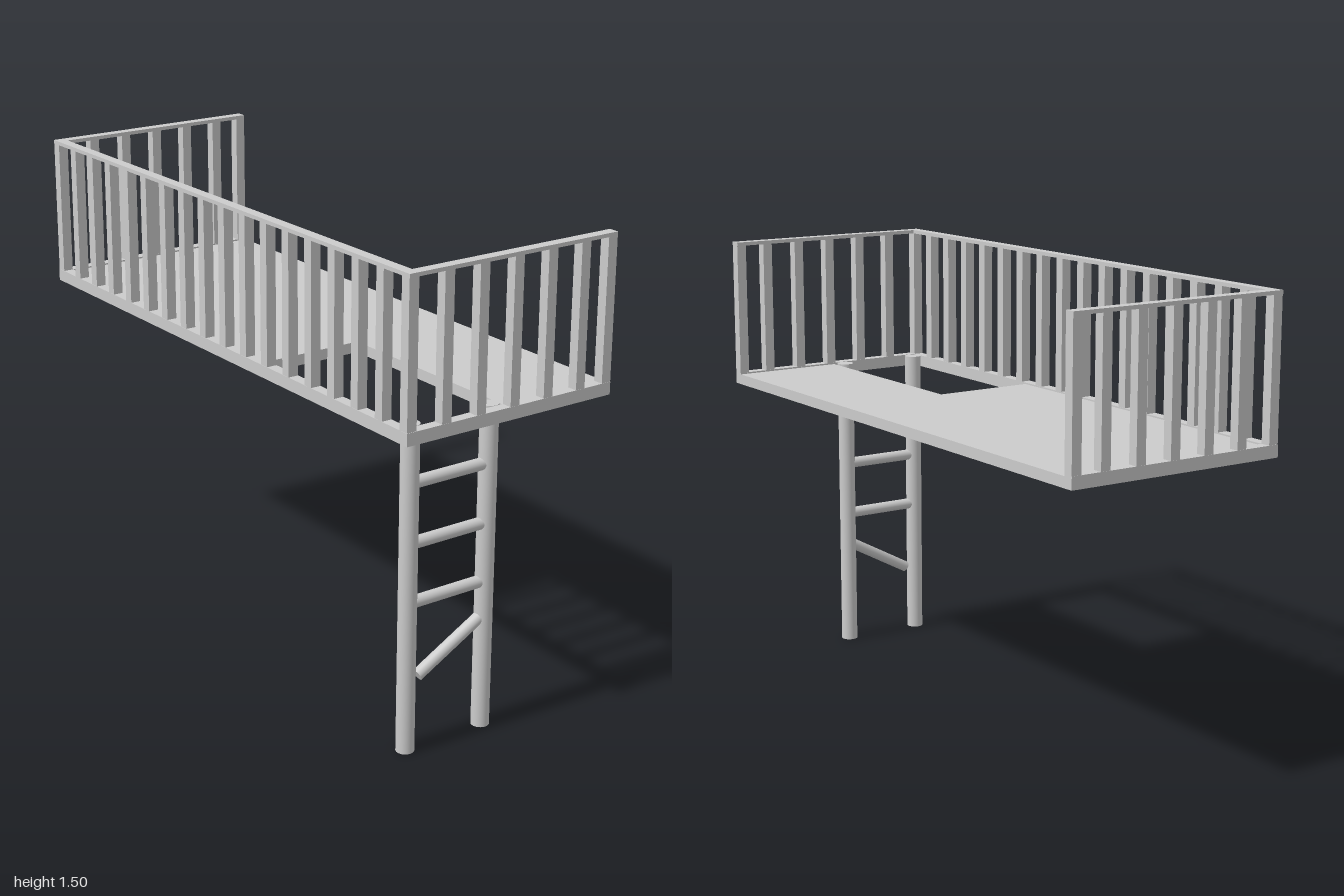
import * as THREE from 'three';

const material = new THREE.MeshStandardMaterial({ color: 0xcccccc });

// Main measures
const X = 1, Z = 0.38, T = 0.035;            // half length, half depth, timber width
const BASE = 1, RIM_TOP = 1.04, TOP = 1.5;   // heights
const RAIL = 0.012;                          // hand rail thickness

function add(group, name, geometry) {
  const mesh = new THREE.Mesh(geometry, material);
  mesh.name = name;
  group.add(mesh);
  return mesh;
}

// Box given by its minimum and maximum corners
function block(group, name, [x0, y0, z0], [x1, y1, z1]) {
  const mesh = add(group, name, new THREE.BoxGeometry(x1 - x0, y1 - y0, z1 - z0));
  mesh.position.set((x0 + x1) / 2, (y0 + y1) / 2, (z0 + z1) / 2);
}

// Round bar between two points
function rod(group, name, a, b, radius) {
  const from = new THREE.Vector3(...a), to = new THREE.Vector3(...b);
  const dir = to.clone().sub(from);
  const mesh = add(group, name, new THREE.CylinderGeometry(radius, radius, dir.length(), 32));
  mesh.position.copy(from).add(to).multiplyScalar(0.5);
  mesh.quaternion.setFromUnitVectors(new THREE.Vector3(0, 1, 0), dir.normalize());
}

function baluster(group, x, z) {
  const h = 0.0168;
  block(group, 'baluster', [x - h, RIM_TOP, z - h], [x + h, TOP - RAIL, z + h]);
}

export function createModel() {
  const model = new THREE.Group();
  model.name = 'loftPlatform';

  // L-shaped floor, leaving the ladder opening in one corner
  const outline = [[-X + T, Z], [X - T, Z], [X - T, 0], [0.25, 0], [0.25, -Z + T], [-X + T, -Z + T]];
  const shape = new THREE.Shape(outline.map(([x, y]) => new THREE.Vector2(x, y)));
  const floorGeometry = new THREE.ExtrudeGeometry(shape, { depth: 0.035, bevelEnabled: false });
  floorGeometry.rotateX(-Math.PI / 2);
  add(model, 'floor', floorGeometry).position.y = BASE;

  // Front railing
  const front = new THREE.Group();
  front.name = 'frontRailing';
  model.add(front);
  block(front, 'rim', [-X, BASE, Z - T], [X, RIM_TOP, Z]);
  block(front, 'handRail', [-X, TOP - RAIL, Z - T], [X, TOP, Z]);
  for (let i = 0; i < 18; i++) baluster(front, -0.982 + i * 0.1155, Z - T / 2);

  // End railings
  for (const side of [-1, 1]) {
    const end = new THREE.Group();
    end.name = side > 0 ? 'leftRailing' : 'rightRailing';
    model.add(end);
    const x0 = side > 0 ? X - T : -X;
    block(end, 'rim', [x0, BASE, -Z], [x0 + T, RIM_TOP, Z - T]);
    block(end, 'handRail', [x0, TOP - RAIL, -Z], [x0 + T, TOP, Z - T]);
    for (let i = 1; i < 6; i++) baluster(end, x0 + T / 2, 0.364 - i * 0.125);
    baluster(end, x0 + T / 2, -Z + 0.0168);
  }

  // Ladder with two poles, three sound rungs and one that has come loose
  const ladder = new THREE.Group();
  ladder.name = 'ladder';
  model.add(ladder);
  const lx = 0.935, zBack = 0.03, zFront = 0.318;
  for (const z of [zBack, zFront]) rod(ladder, 'pole', [lx, 0, z], [lx, RIM_TOP, z], 0.0285);
  for (const y of [0.48, 0.668, 0.856]) rod(ladder, 'rung', [lx, y, zBack], [lx, y, zFront], 0.019);
  rod(ladder, 'looseRung', [lx, 0.371, zBack], [lx, 0.237, 0.277], 0.019);

  return model;
}
